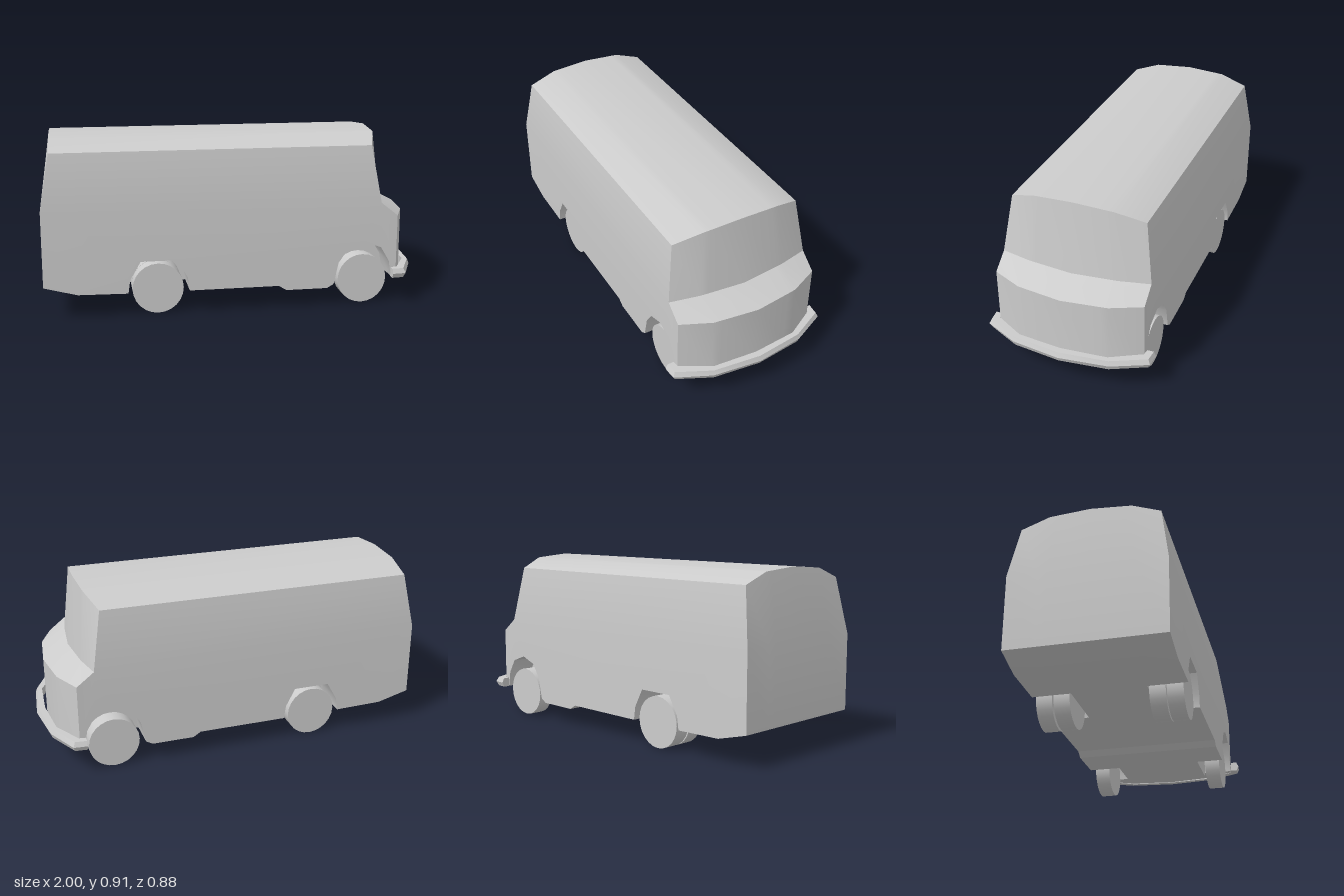
import * as THREE from 'three';
import { toCreasedNormals } from 'three/addons/utils/BufferGeometryUtils.js';

const grey = new THREE.MeshStandardMaterial({ color: 0xcccccc });

// Skins a row of equal rings (counter-clockwise seen from +z, running towards -z).
// section: 2D outline used to triangulate the end caps; faces: index lists of the cap polygons.
function loft(rings, section, faces) {
  const out = [];
  const tri = (a, b, c) => {
    const area = b.clone().sub(a).cross(c.clone().sub(a)).length();
    if (area > 1e-7) for (const p of [a, b, c]) out.push(p.x, p.y, p.z);
  };
  const n = section.length;
  for (let k = 0; k < rings.length - 1; k++) {
    for (let i = 0; i < n; i++) {
      const j = (i + 1) % n;
      const a = rings[k][i], b = rings[k][j], c = rings[k + 1][j], d = rings[k + 1][i];
      tri(a, d, b);
      tri(b, d, c);
    }
  }
  const first = rings[0], last = rings[rings.length - 1];
  for (const face of faces) {
    const flat = face.map(i => new THREE.Vector2(...section[i]));
    for (let t of THREE.ShapeUtils.triangulateShape(flat, [])) {
      if (THREE.ShapeUtils.area(t.map(i => flat[i])) < 0) t = [t[0], t[2], t[1]];
      const [a, b, c] = t.map(i => face[i]);
      tri(first[a], first[b], first[c]);
      tri(last[a], last[c], last[b]);
    }
  }
  const g = new THREE.BufferGeometry();
  g.setAttribute('position', new THREE.Float32BufferAttribute(out, 3));
  g.computeVertexNormals();
  return toCreasedNormals(g, 0.5);
}

// Side outline of one lengthwise slice, with its wheel arches open or closed
function outline({ nose, base, top, roof, rear, front }) {
  const rearArch = [[-0.575, 0.12], [-0.565, 0.19], [-0.51, 0.285], [-0.32, 0.285], [-0.27, 0.19], [-0.26, 0.12]];
  const frontArch = [[0.505, 0.115], [0.53, 0.23], [0.58, 0.305], [0.67, 0.338], [0.76, 0.305], [0.805, 0.23], [0.82, 0.145]];
  const arch = (pts, open) => pts.map(([x, y], i) =>
    [x, open || i === 0 || i === pts.length - 1 ? y : 0.12]);
  return [
    [-1, 0.17], [-0.83, 0.125],
    ...arch(rearArch, rear),
    [0.21, 0.12], [0.25, 0.095], [0.47, 0.095],
    ...arch(frontArch, front),
    [nose, 0.145], [nose, 0.475], [base, 0.545],
    [top, roof], [-0.95, roof], [-1, 0.56],
  ];
}

function makeBody() {
  // z: half width below the windows, zTop: half width at the roof
  const edge = { z: 0.39, zTop: 0.348, nose: 0.845, base: 0.755, top: 0.705, roof: 0.845 };
  const mid = { z: 0.235, zTop: 0.205, nose: 0.915, base: 0.788, top: 0.752, roof: 0.898 };
  const inner = { z: 0.19, zTop: 0.166, nose: 0.921, base: 0.793, top: 0.755, roof: 0.901 };
  const centre = { z: 0, zTop: 0, nose: 0.945, base: 0.812, top: 0.765, roof: 0.913 };
  const half = [
    { ...edge, rear: true, front: true },
    { ...mid, rear: true, front: true },
    { ...mid, rear: true, front: false },
    { ...inner, rear: true, front: false },
    { ...inner, rear: false, front: false },
  ];
  const mirrored = half.map(s => ({ ...s, z: -s.z, zTop: -s.zTop })).reverse();
  const slices = [...half, { ...centre, rear: false, front: false }, ...mirrored];
  const rings = slices.map(s => outline(s).map(([x, y], i) =>
    new THREE.Vector3(x, y, i >= 21 && i <= 22 ? s.zTop : s.z)));
  const lower = [...Array(21).keys(), 23];
  return loft(rings, outline(half[0]), [lower, [20, 21, 22, 23]]);
}

function makeBumper() {
  // inner x, inner z, outer x, outer z
  const half = [
    [0.815, 0.395, 0.815, 0.44], [0.85, 0.39, 0.885, 0.434], [0.935, 0.235, 0.968, 0.255],
  ];
  const stations = [...half, [0.955, 0, 1, 0],
    ...half.map(([a, b, c, d]) => [a, -b, c, -d]).reverse()];
  const section = [[0, 0.145], [0.75, 0.145], [1, 0.17], [0.75, 0.195], [0, 0.195]];
  const rings = stations.map(([ix, iz, ox, oz]) => section.map(([t, y]) =>
    new THREE.Vector3(ix + (ox - ix) * t, y, iz + (oz - iz) * t)));
  return loft(rings, section, [[0, 1, 2, 3, 4]]);
}

export function createModel() {
  const model = new THREE.Group();
  model.name = 'van';
  const add = (name, geometry) => {
    const mesh = new THREE.Mesh(geometry, grey);
    mesh.name = name;
    model.add(mesh);
    return mesh;
  };

  add('body', makeBody());
  add('frontBumper', makeBumper());

  // Single front wheels, twin rear wheels
  const tyre = new THREE.CylinderGeometry(0.132, 0.132, 0.082, 24).rotateX(Math.PI / 2);
  const wheels = [
    ['frontWheel', 0.667, [0.321, -0.337]],
    ['rearOuterWheel', -0.42, [0.321, -0.337]],
    ['rearInnerWheel', -0.42, [0.234, -0.246]],
  ];
  for (const [name, x, sides] of wheels) {
    for (const z of sides) add(name, tyre).position.set(x, 0.132, z);
  }
  return model;
}
